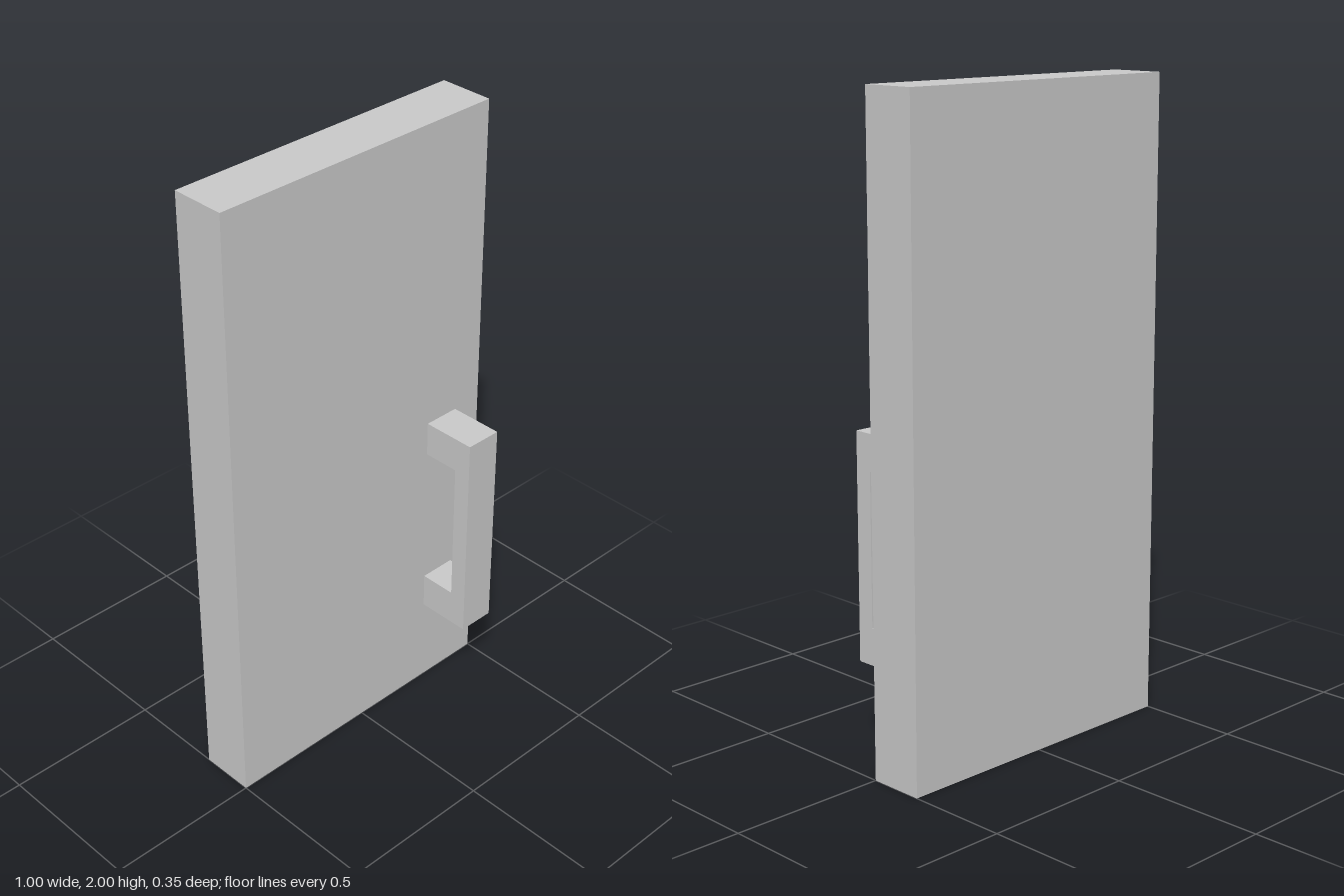
import * as THREE from 'three';

export function createModel() {
  const group = new THREE.Group();
  const material = new THREE.MeshStandardMaterial({ color: 0xcccccc, flatShading: true });
  const depth = 0.177; // door thickness, also how far the handle stands out

  // Door slab, its front face on z = 0
  const panel = new THREE.Mesh(new THREE.BoxGeometry(1, 2, depth), material);
  panel.name = 'doorPanel';
  panel.position.set(0, 1, -depth / 2);
  group.add(panel);

  // C-shaped pull handle: side profile (z, y) extruded across its width
  const profile = [
    [0, 0.295], [depth, 0.295], [depth, 1], [0, 1],
    [0, 0.887], [0.12, 0.887], [0.12, 0.412], [0, 0.412],
  ].map(([z, y]) => new THREE.Vector2(z, y));
  const handleGeometry = new THREE.ExtrudeGeometry(new THREE.Shape(profile), {
    depth: 0.12,
    bevelEnabled: false,
  });
  handleGeometry.rotateY(-Math.PI / 2);
  const handle = new THREE.Mesh(handleGeometry, material);
  handle.name = 'pullHandle';
  handle.position.x = 0.4;
  group.add(handle);

  return group;
}
